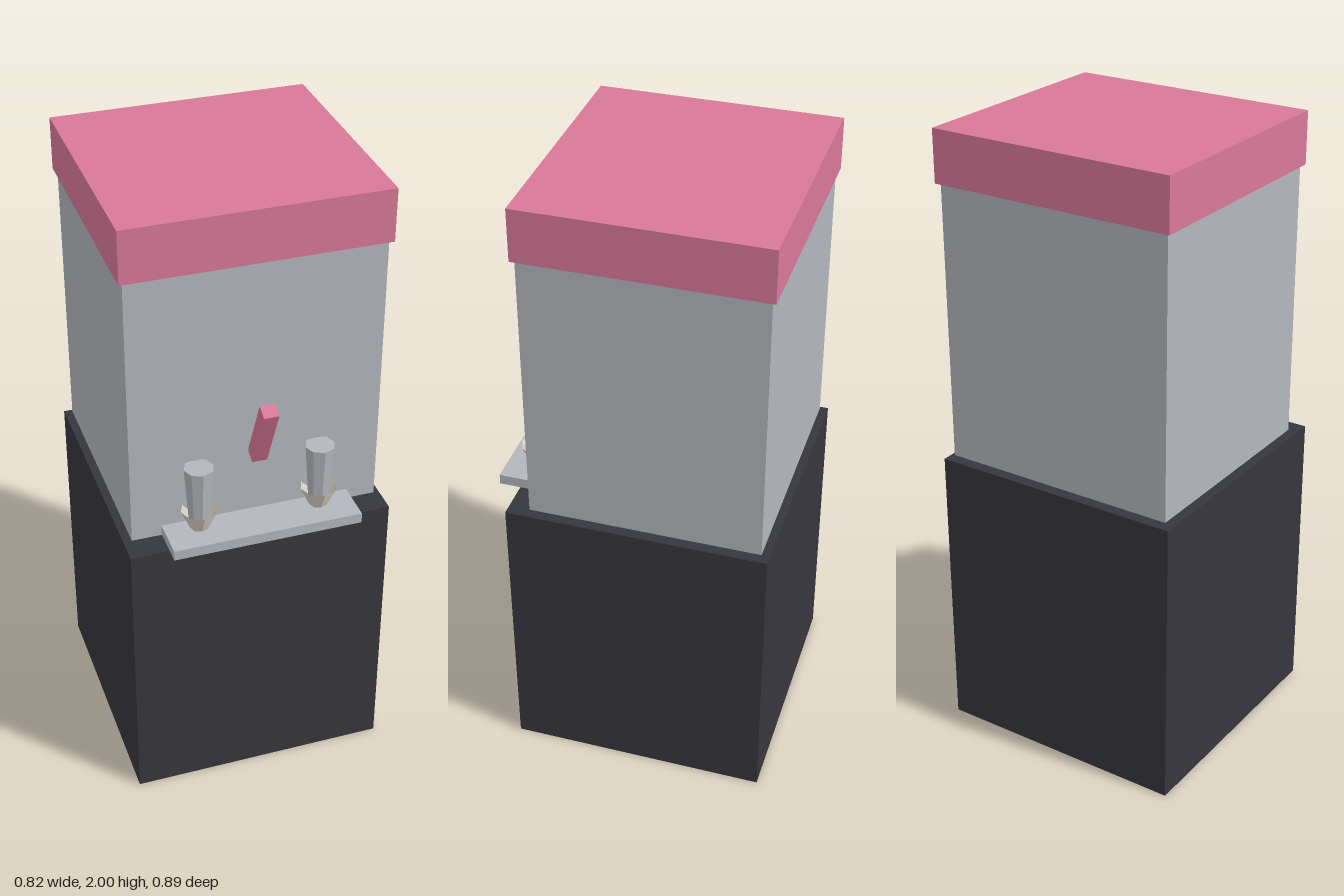
import * as THREE from 'three';

const material = (color) => new THREE.MeshStandardMaterial({ color, flatShading: true });

export function createModel() {
  const model = new THREE.Group();
  model.name = 'drinkDispenser';
  const pink = material(0xd87899);
  const dark = material(0x36363d);
  const grey = material(0xb3b6bb);
  const cream = material(0xddd5c6);
  cream.side = THREE.DoubleSide;

  const add = (name, geometry, mat, x, y, z) => {
    const mesh = new THREE.Mesh(geometry, mat);
    mesh.name = name;
    mesh.position.set(x, y, z);
    model.add(mesh);
    return mesh;
  };
  // Box given by its width and its y and z ranges
  const block = (name, mat, width, y0, y1, z0, z1) =>
    add(name, new THREE.BoxGeometry(width, y1 - y0, z1 - z0), mat, 0, (y0 + y1) / 2, (z0 + z1) / 2);

  // Cabinet, tank and lid
  block('cabinet', dark, 0.824, 0, 0.945, -0.443, 0.382);
  block('tank', grey, 0.778, 0.955, 1.838, -0.42, 0.311);
  block('lid', pink, 0.802, 1.835, 2, -0.432, 0.323);

  // Tray on the front
  block('tray', grey, 0.592, 0.957, 0.99, 0.305, 0.443);

  // Tilted lever
  const lever = add('lever', new THREE.BoxGeometry(0.046, 0.236, 0.044), pink, 0, 1.303, 0.375);
  lever.rotation.x = THREE.MathUtils.degToRad(24);

  // Two tapered cups standing in cone holders
  for (const [side, x] of [['left', 0.189], ['right', -0.189]]) {
    add(side + 'Holder', new THREE.CylinderGeometry(0.057, 0.007, 0.113, 8, 1, true), cream, x, 0.9985, 0.349);
    add(side + 'Cup', new THREE.CylinderGeometry(0.046, 0.031, 0.205, 8), grey, x, 1.1025, 0.349);
  }
  return model;
}
